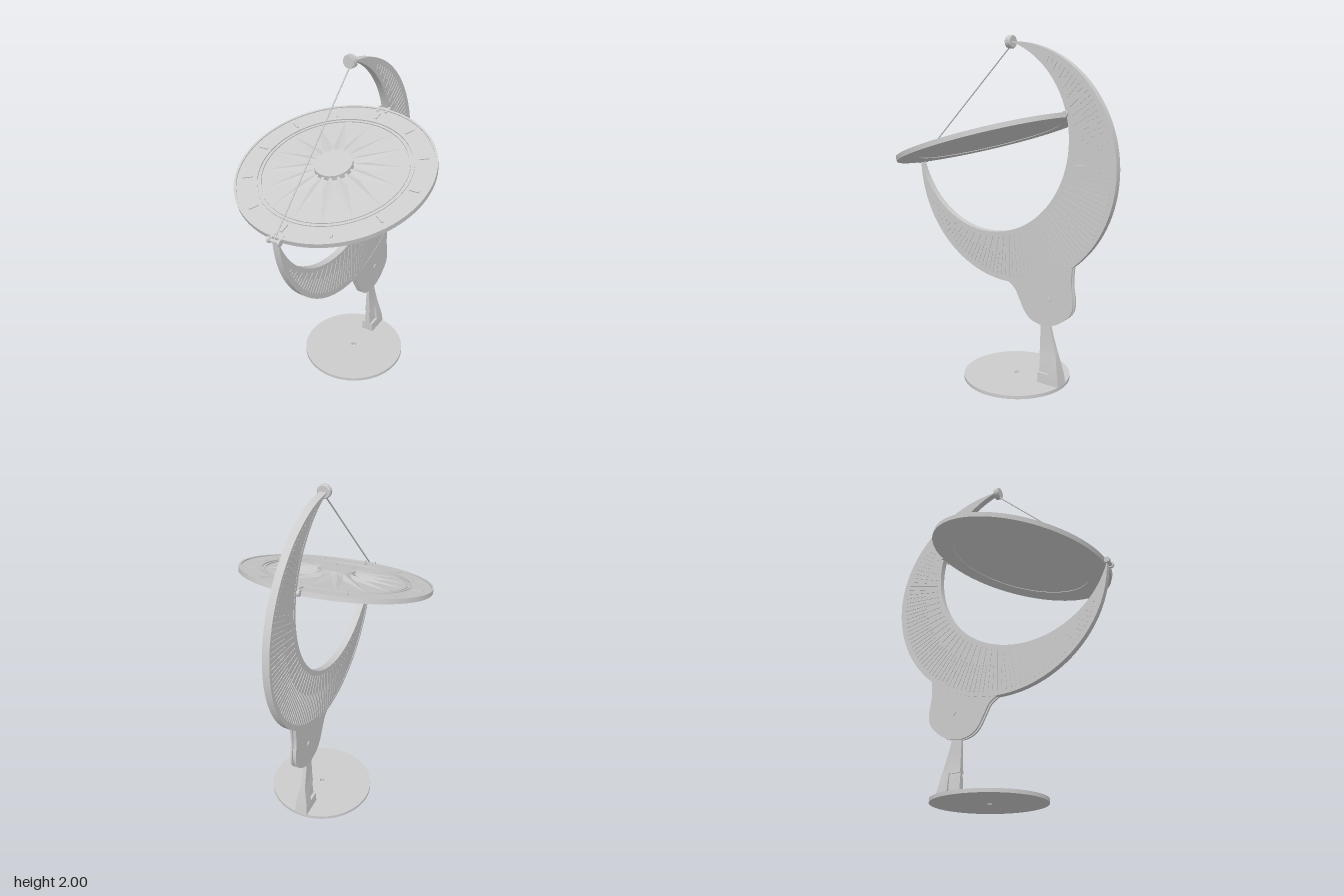
import * as THREE from 'three';
import { toCreasedNormals, mergeGeometries } from 'three/addons/utils/BufferGeometryUtils.js';

const mat = new THREE.MeshStandardMaterial({ color: 0xcccccc });
const matThin = new THREE.MeshStandardMaterial({ color: 0xcccccc, side: THREE.DoubleSide });

// The upright plates are drawn in (u, v) = (-z, y) and extruded along x.
const OUTER = new THREE.Vector2(0.02, 1.275), INNER = new THREE.Vector2(-0.138, 1.43);
const R = 0.69, r = 0.56;

function add(parent, name, geometry, material = mat) {
  const mesh = new THREE.Mesh(geometry, material);
  mesh.name = name;
  parent.add(mesh);
  return mesh;
}

// Extrude a (u, v) shape along x between x0 and x1
function plate(shape, x0, x1) {
  const g = new THREE.ExtrudeGeometry(shape, { depth: x1 - x0, bevelEnabled: false, curveSegments: 80 });
  g.translate(0, 0, x0).rotateY(Math.PI / 2);
  return toCreasedNormals(g, 0.5);
}

// Crescent between two circles, drawn in by an inset
function crescent(inset, Type = THREE.Shape) {
  const Ro = R - inset, ri = r + inset;
  const axis = OUTER.clone().sub(INNER), d = axis.length(), mid = axis.angle();
  const a = (ri * ri - Ro * Ro + d * d) / (2 * d);
  const ho = Math.acos((a - d) / Ro), hi = Math.acos(a / ri);
  const s = new Type();
  s.absarc(OUTER.x, OUTER.y, Ro, mid + ho, mid - ho, true);
  s.absarc(INNER.x, INNER.y, ri, mid - hi, mid + hi, false);
  return s;
}

// Radial hour lines across both faces of the crescent
function hourLines() {
  const list = [], off = OUTER.clone().sub(INNER);
  for (let i = 0; i < 90; i++) {
    const t = 1.25 - (i / 89) * 4.05;
    const dir = new THREE.Vector2(Math.cos(t), Math.sin(t));
    const b = off.dot(dir);
    const edge = -b + Math.sqrt(b * b - off.lengthSq() + r * r);
    const from0 = edge + 0.03, to = R - 0.03;
    if (to - from0 < 0.02) continue;
    const from = i % 2 ? from0 + (to - from0) * 0.4 : from0;
    const g = new THREE.BoxGeometry(to - from, 0.005, 0.034);
    g.translate((from + to) / 2, 0, 0).rotateZ(t).translate(OUTER.x, OUTER.y, 0).rotateY(Math.PI / 2);
    list.push(g);
  }
  return mergeGeometries(list);
}

// Rounded mounting lobe below the crescent
function lobeShape() {
  const s = new THREE.Shape();
  s.moveTo(0, 0.592);
  s.splineThru([[0.03, 0.578], [0.07, 0.545], [0.1, 0.49], [0.14, 0.42], [0.19, 0.38], [0.26, 0.366],
    [0.34, 0.38], [0.41, 0.425], [0.455, 0.48], [0.463, 0.55], [0.45, 0.64], [0.455, 0.74]]
    .map(p => new THREE.Vector2(...p)));
  s.absarc(OUTER.x, OUTER.y, 0.68, -0.89, -1.6, true);
  return s;
}

// Tapered post from stacked cross-sections, with a notch in each side
function postGeometry() {
  // y, half width, half width at the notch, rear z
  const levels = [
    [0.018, 0.04, 0.04, -0.39], [0.08, 0.037, 0.037, -0.38], [0.08, 0.037, 0.02, -0.38],
    [0.18, 0.02, 0.012, -0.36], [0.18, 0.02, 0.02, -0.36], [0.21, 0.015, 0.015, -0.352],
    [0.3, 0.011, 0.011, -0.325], [0.36, 0.009, 0.009, -0.31], [0.42, 0.007, 0.007, -0.3]];
  const zf = -0.245, pos = [], idx = [];
  for (const [y, w, wi, zb] of levels) {
    const zn = -0.315 + Math.max(0, y - 0.18) * 0.1;
    const n = Math.max(zn, zb + 0.005);
    for (const [x, z] of [[wi, zf], [wi, n], [w, n], [w, zb], [-w, zb], [-w, n], [-wi, n], [-wi, zf]]) pos.push(x, y, z);
  }
  for (let l = 0; l < levels.length - 1; l++)
    for (let i = 0; i < 8; i++) {
      const a = l * 8 + i, b = l * 8 + (i + 1) % 8;
      idx.push(a, b, b + 8, a, b + 8, a + 8);
    }
  const g = new THREE.BufferGeometry();
  g.setAttribute('position', new THREE.Float32BufferAttribute(pos, 3));
  g.setIndex(idx);
  return toCreasedNormals(g, 0.3);
}

function createDial() {
  const dial = new THREE.Group();
  dial.name = 'dial';
  // Disc with raised rim, ring and a shallow cone towards the hub
  const profile = [[0, -0.011], [0.42, -0.011], [0.42, -0.015], [0.55, -0.015], [0.55, 0.012], [0.537, 0.012],
    [0.537, 0.006], [0.43, 0.006], [0.43, 0.011], [0.42, 0.011], [0.42, 0.004], [0.408, 0.004], [0.408, 0.009],
    [0.4, 0.009], [0.4, 0.003], [0.38, 0.003], [0.1, 0.016], [0, 0.016]].map(p => new THREE.Vector2(...p));
  add(dial, 'dialDisc', toCreasedNormals(new THREE.LatheGeometry(profile, 96), 0.4));
  add(dial, 'hub', new THREE.CylinderGeometry(0.105, 0.108, 0.036, 48)).position.y = 0.026;

  // Sixteen ridged rays
  for (let i = 0; i < 16; i++) {
    const g = new THREE.BufferGeometry();
    const A = [0.09, 0.036, 0], P = [0.17, 0.0135, 0.033], Q = [0.17, 0.0135, -0.033], T = [0.395, 0.004, 0];
    g.setAttribute('position', new THREE.Float32BufferAttribute([...A, ...P, ...T, ...A, ...T, ...Q], 3));
    g.computeVertexNormals();
    add(dial, 'sunRay', g, matThin).rotation.y = i * Math.PI / 8;
  }
  // Twelve raised hour bars
  for (let i = 0; i < 12; i++) {
    const g = new THREE.BoxGeometry(0.055, 0.008, 0.012).translate(0.478, 0.008, 0);
    add(dial, 'hourMark', g).rotation.y = i * Math.PI / 6;
  }
  // Hinge pins and ears at both ends
  for (const end of [1, -1]) {
    const z = end > 0 ? 0.565 : -0.56;
    add(dial, 'hingePin', new THREE.CylinderGeometry(0.01, 0.01, 0.08, 16).rotateZ(Math.PI / 2)).position.z = z;
    for (const side of [1, -1]) {
      const ear = new THREE.CylinderGeometry(0.017, 0.017, 0.014, 20).rotateZ(Math.PI / 2);
      add(dial, 'hingeEar', ear).position.set(side * 0.032, 0, z);
      add(dial, 'hingeArm', new THREE.BoxGeometry(0.014, 0.022, 0.04)).position.set(side * 0.026, 0, z - end * 0.022);
    }
  }
  dial.position.set(0, 1.418, 0.135);
  dial.rotation.x = 0.286;
  return dial;
}

export function createModel() {
  const model = new THREE.Group();
  model.name = 'sundial';

  // Round base with a centre hole
  const disc = new THREE.Shape().absarc(0, 0, 0.317, 0, Math.PI * 2);
  disc.holes.push(new THREE.Path().absarc(0, 0, 0.015, 0, Math.PI * 2));
  const baseGeo = new THREE.ExtrudeGeometry(disc, { depth: 0.02, bevelEnabled: false, curveSegments: 64 });
  add(model, 'base', toCreasedNormals(baseGeo.rotateX(-Math.PI / 2), 0.5)).position.z = -0.07;
  add(model, 'post', postGeometry());

  // Lobe: two cheeks around a slightly smaller core
  const lobe = lobeShape();
  add(model, 'lobeCheekLeft', plate(lobe, 0.007, 0.018));
  add(model, 'lobeCheekRight', plate(lobe, -0.018, -0.007));
  const core = plate(lobe, -0.007, 0.007);
  core.translate(0, -0.6, 0.25).scale(1, 0.94, 0.94).translate(0, 0.6, -0.25);
  add(model, 'lobeCore', core);
  const bolt = add(model, 'bolt', new THREE.CylinderGeometry(0.016, 0.016, 0.048, 24).rotateZ(Math.PI / 2));
  bolt.position.set(0, 0.525, -0.3);

  // Crescent: recessed web, raised rim, hour lines
  const rim = crescent(0);
  rim.holes.push(crescent(0.018, THREE.Path));
  add(model, 'crescentRim', plate(rim, -0.02, 0.02));
  add(model, 'crescentWeb', plate(crescent(0.008), -0.014, 0.014));
  add(model, 'hourLines', hourLines());

  // Round cap on the upper tip
  const capProfile = [[0, -0.018], [0.033, -0.018], [0.037, -0.013], [0.037, 0.01], [0.033, 0.01],
    [0.033, 0.018], [0, 0.018]].map(p => new THREE.Vector2(...p));
  const cap = new THREE.LatheGeometry(capProfile, 40).rotateX(Math.PI / 2);
  add(model, 'tipCap', toCreasedNormals(cap, 0.5)).position.set(0, 1.963, -0.022);

  model.add(createDial());

  // Taut shadow wire
  const wire = new THREE.LineCurve3(new THREE.Vector3(0, 1.945, -0.025), new THREE.Vector3(0, 1.265, 0.68));
  add(model, 'shadowWire', new THREE.TubeGeometry(wire, 1, 0.004, 8));
  return model;
}
